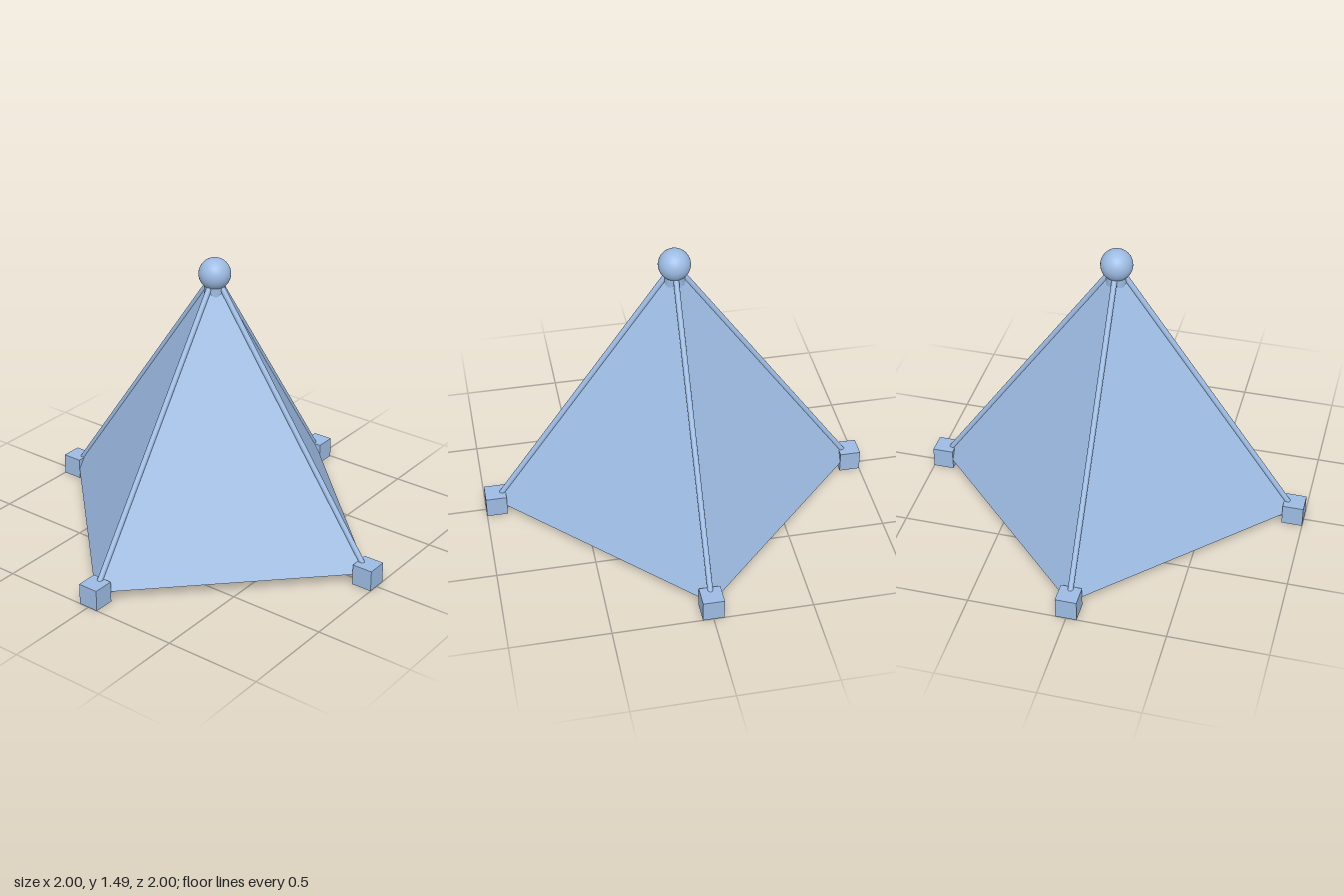
import * as THREE from 'three';

const BLUE = 0x9dbbe3;
const BLOCK = 0.107;            // width of the corner blocks
const BLOCK_HEIGHT = 0.11;
const REACH = 1 - BLOCK / 2;    // centre line to corner
const BASE = BLOCK_HEIGHT / 2;  // height of the canopy hem
const APEX = 1.408;             // centre of the top ball

export function createModel() {
  const group = new THREE.Group();
  const solid = new THREE.MeshStandardMaterial({ color: BLUE });
  const cloth = new THREE.MeshStandardMaterial({ color: BLUE, flatShading: true, side: THREE.DoubleSide });

  const add = (name, geometry, material = solid) => {
    const mesh = new THREE.Mesh(geometry, material);
    mesh.name = name;
    group.add(mesh);
    return mesh;
  };

  // round bar between two points
  const bar = (name, from, to, radius, sides) => {
    const dir = to.clone().sub(from);
    const mesh = add(name, new THREE.CylinderGeometry(radius, radius, dir.length(), sides));
    mesh.position.copy(from).add(to).multiplyScalar(0.5);
    mesh.quaternion.setFromUnitVectors(new THREE.Vector3(0, 1, 0), dir.normalize());
  };

  // open four-sided pyramid standing on the hem
  const pyramid = (name, height) => {
    add(name, new THREE.ConeGeometry(REACH, height, 4, 1, true), cloth)
      .position.y = BASE + height / 2;
  };

  const top = new THREE.Vector3(0, APEX, 0);

  // steep outer canopy and the shallower ceiling inside it
  pyramid('canopy', APEX - BASE);
  pyramid('innerCeiling', (APEX - BASE) / 3);

  // central pole and ball on top
  bar('centrePole', new THREE.Vector3(0, BASE, 0), top, 0.052, 32);
  add('topBall', new THREE.SphereGeometry(0.08, 32, 24)).position.copy(top);

  // corner blocks with ridge rods running up to the apex
  for (const [x, z] of [[1, 0], [0, 1], [-1, 0], [0, -1]]) {
    const corner = new THREE.Vector3(x * REACH, BASE, z * REACH);
    add('cornerBlock', new THREE.BoxGeometry(BLOCK, BLOCK_HEIGHT, BLOCK)).position.copy(corner);
    bar('ridgeRod', corner, top, 0.014, 16);
  }

  return group;
}
